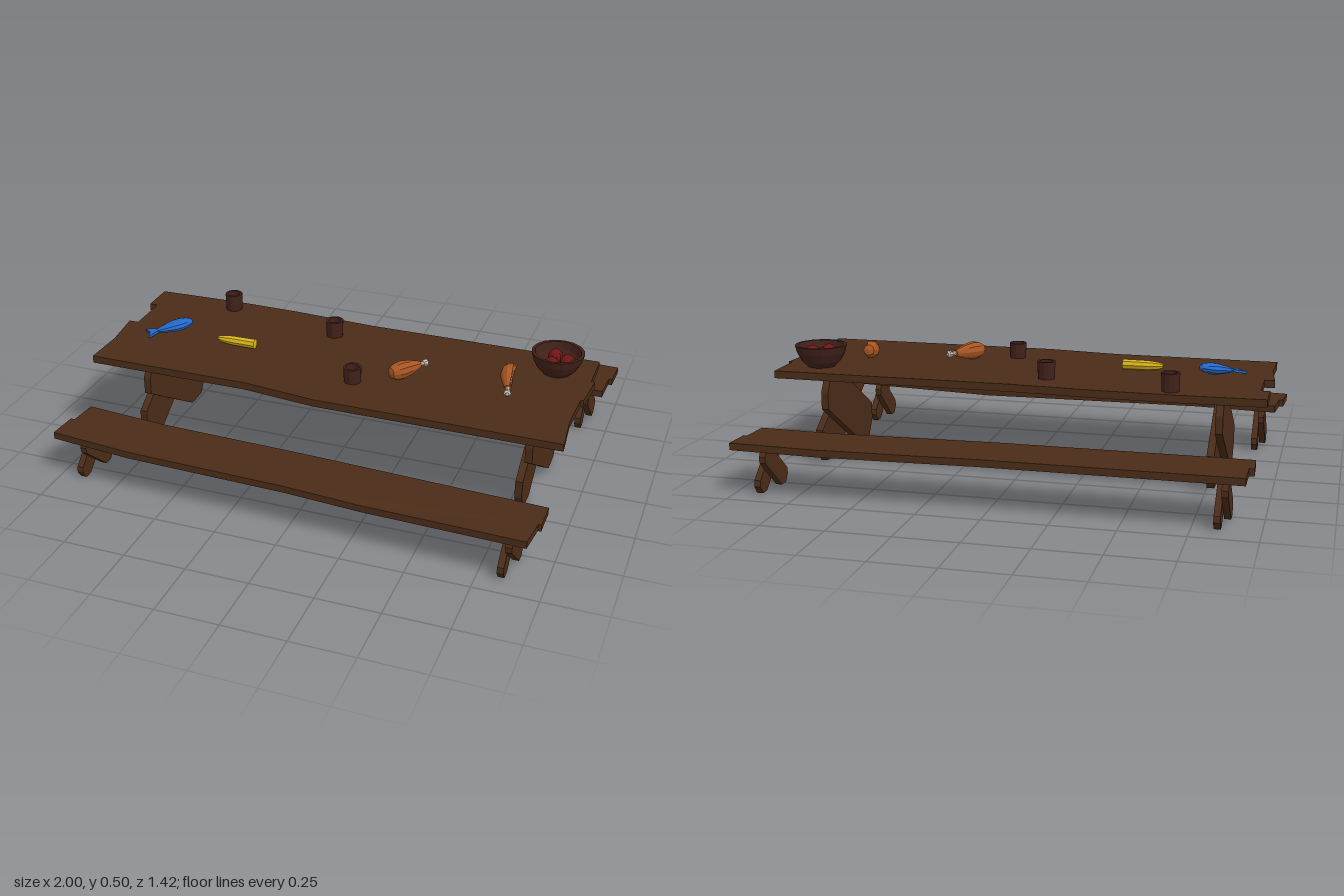
import * as THREE from 'three';

const mat = (color, side = THREE.FrontSide) => new THREE.MeshStandardMaterial({ color, flatShading: true, side });
const wood = mat(0x4a2c18);
const darkWood = mat(0x42221a, THREE.DoubleSide);
const red = mat(0x701515);
const meatMat = mat(0xa85522);
const boneMat = mat(0xcdbfae);
const blue = mat(0x2468c8, THREE.DoubleSide);
const yellow = mat(0xd8b41c);

function part(name, geometry, material, parent) {
  const mesh = new THREE.Mesh(geometry, material);
  mesh.name = name;
  parent.add(mesh);
  return mesh;
}

function group(name, parent) {
  const g = new THREE.Group();
  g.name = name;
  parent.add(g);
  return g;
}

const points = (list) => list.map(([x, y]) => new THREE.Vector2(x, y));

// Board from an outline of [x, z] corners, with an optional sag along x
function slab(outline, y, thickness, sag = () => 0) {
  const shape = new THREE.Shape(points(outline.map(([x, z]) => [x, -z])));
  const geo = new THREE.ExtrudeGeometry(shape, { depth: thickness, bevelEnabled: false });
  geo.rotateX(-Math.PI / 2).translate(0, y, 0);
  const p = geo.attributes.position;
  for (let i = 0; i < p.count; i++) p.setY(i, p.getY(i) - sag(p.getX(i)));
  geo.computeVertexNormals();
  return geo;
}

// Crossed pair of chamfered boards; half holds one end of a board, mirrored through the centre
function crossLeg(name, half, thickness, x, y, z, parent) {
  const g = group(name, parent);
  const outline = [...half, ...half.map(([u, v]) => [-u, -v])];
  [1, -1].forEach((side) => {
    const shape = new THREE.Shape(points(outline.map(([u, v]) => [u * side, v])));
    const geo = new THREE.ExtrudeGeometry(shape, { depth: thickness, bevelEnabled: false });
    geo.rotateY(Math.PI / 2).translate(side > 0 ? 0 : -thickness, 0, 0);
    part(side > 0 ? 'outerBoard' : 'innerBoard', geo, wood, g);
  });
  g.position.set(x, y, z);
}

// Turned shape lying along x, from [radius, x] pairs
const turned = (profile, sides) => new THREE.LatheGeometry(points(profile), sides).rotateZ(-Math.PI / 2);

function drumstick(x, y, z, angle, tilt, bitten, parent) {
  const g = group('drumstick', parent);
  const meat = turned([[0, -0.08], [0.022, -0.074], [0.034, -0.05], [0.037, -0.025], [0.031, 0.01],
    [0.02, 0.045], [0.014, 0.062], [0, 0.064]], 10);
  if (bitten) {
    // Bite pushed into one side, down to the bone
    const p = meat.attributes.position;
    for (let i = 0; i < p.count; i++) {
      if (p.getZ(i) < -0.012 && Math.abs(p.getX(i)) < 0.055) p.setZ(i, -0.007);
    }
    meat.computeVertexNormals();
  }
  part('meat', meat, meatMat, g);
  part('bone', turned([[0, -0.05], [0.01, -0.048], [0.009, 0.08], [0.014, 0.086], [0.015, 0.096],
    [0.008, 0.102], [0, 0.102]], 8), boneMat, g);
  g.position.set(x, y, z);
  g.rotation.set(0, angle, tilt);
}

export function createModel() {
  const model = new THREE.Group();
  model.name = 'picnicTable';

  // Table
  const table = group('table', model);
  part('tableTop', slab([
    [-0.98, -0.35], [-0.63, -0.36], [-0.35, -0.356], [0, -0.335], [0.97, -0.335], [0.97, -0.16],
    [0.985, -0.16], [0.972, 0.005], [0.96, 0.005], [0.955, 0.18], [0.97, 0.35], [0, 0.35],
    [-0.3, 0.315], [-0.97, 0.315], [-0.965, 0.14], [-0.985, -0.03], [-0.945, -0.03],
    [-0.945, -0.21], [-0.98, -0.21],
  ], 0.385, 0.03), wood, table);
  const tableLeg = [[0, -0.105], [0.115, -0.187], [0.205, -0.183], [0.247, -0.115], [0.247, -0.045], [0.12, 0.0]];
  // Straight board edges need only the end corners
  const tableEnd = tableLeg.slice(1, 5);
  [-0.782, 0.81].forEach((x) => crossLeg('tableLeg', tableEnd, 0.029, x, 0.2, 0, table));

  // Benches
  const sag = (x) => 0.012 * Math.max(0, 1 - Math.abs(x - 0.3) / 0.6);
  const benchEnd = [[0.042, -0.09], [0.078, -0.09], [0.1, -0.06], [0.097, -0.035]];
  const benches = [
    ['frontBench', [
      [-0.965, 0.375], [-0.63, 0.405], [0, 0.415], [0.3, 0.43], [0.955, 0.468], [0.955, 0.585],
      [0.943, 0.585], [0.93, 0.705], [0.3, 0.67], [0, 0.655], [-0.65, 0.645], [-1, 0.61],
      [-0.992, 0.49], [-0.975, 0.49],
    ], sag, [[-0.895, 0.495], [0.85, 0.58]]],
    ['backBench', [
      [-0.94, -0.688], [0.03, -0.688], [0.3, -0.7], [0.65, -0.713], [1, -0.7], [0.995, -0.585],
      [0.98, -0.585], [0.975, -0.465], [0.65, -0.475], [0.3, -0.462], [0.03, -0.45],
      [-0.955, -0.45], [-0.96, -0.565], [-0.94, -0.565],
    ], () => 0, [[-0.855, -0.57], [0.895, -0.57]]],
  ];
  benches.forEach(([name, outline, drop, legs]) => {
    const bench = group(name, model);
    part('seat', slab(outline, 0.185, 0.028, drop), wood, bench);
    legs.forEach(([x, z]) => crossLeg('benchLeg', benchEnd, 0.025, x, 0.096, z, bench));
  });

  // Hollow cups
  [[-0.615, -0.295, 0.072], [-0.115, -0.2, 0.07], [0.09, 0.155, 0.063]].forEach(([x, z, h]) => {
    const cup = new THREE.LatheGeometry(points([
      [0, 0], [0.034, 0], [0.036, h], [0.026, h], [0.024, 0.012], [0, 0.012],
    ]), 12);
    part('cup', cup, darkWood, model).position.set(x, 0.414, z);
  });

  // Bowl with fruit
  const bowl = group('fruitBowl', model);
  bowl.position.set(0.825, 0.414, -0.195);
  part('bowl', new THREE.LatheGeometry(points([
    [0, 0], [0.055, 0], [0.08, 0.025], [0.097, 0.058], [0.105, 0.089], [0.092, 0.089],
    [0.084, 0.058], [0.066, 0.03], [0.04, 0.014], [0, 0.012],
  ]), 16), darkWood, bowl);
  [[-0.015, -0.03], [0.04, 0.005], [-0.015, 0.045]].forEach(([x, z]) => {
    part('fruit', new THREE.SphereGeometry(0.03, 10, 8), red, bowl).position.set(x, 0.053, z);
  });

  // Fish, its nose slightly raised
  const fish = group('fish', model);
  const body = turned([[0, -0.085], [0.011, -0.075], [0.024, -0.045], [0.037, 0], [0.038, 0.025],
    [0.03, 0.055], [0.016, 0.073], [0, 0.08]], 10).scale(1, 0.6, 1);
  body.computeVertexNormals();
  part('body', body, blue, fish);
  part('tail', slab([[-0.065, -0.008], [-0.118, -0.036], [-0.105, 0], [-0.118, 0.036], [-0.065, 0.008]],
    -0.005, 0.01), blue, fish);
  fish.position.set(-0.755, 0.443, 0.002);
  fish.rotation.set(0, 0.66, 0.16);

  // Corn cob
  part('corn', turned([[0, -0.083], [0.01, -0.082], [0.016, -0.06], [0.02, -0.02], [0.021, 0.08], [0, 0.083]], 8),
    yellow, model).position.set(-0.457, 0.436, 0.03);

  drumstick(0.278, 0.452, 0.05, 0.92, 0, false, model);
  drumstick(0.677, 0.452, -0.005, -1.4, -0.15, true, model);

  return model;
}
